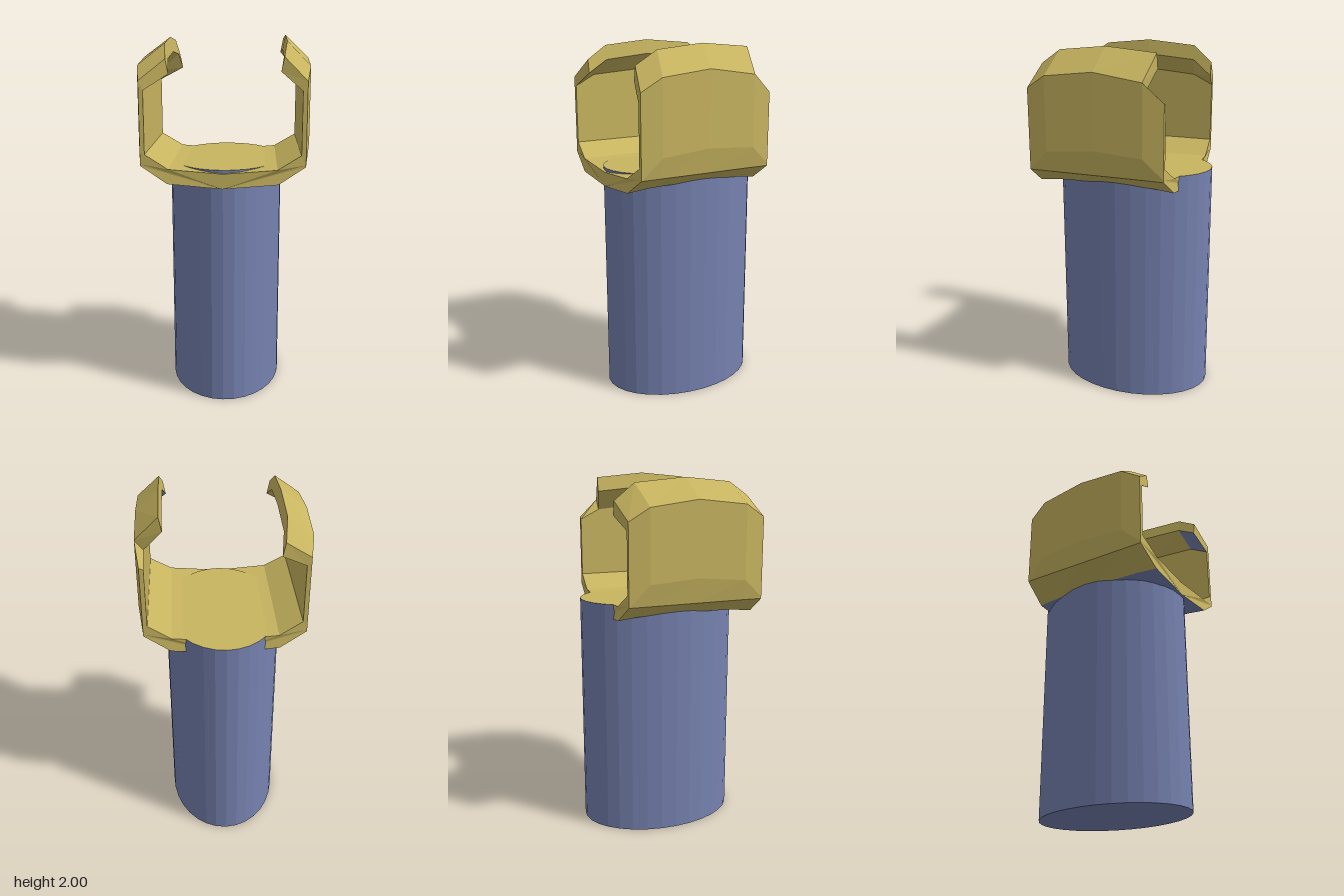
import * as THREE from 'three';

// Joins closed rings (counter-clockwise, front to back) into a capped solid.
// Faces for which isSecond(edge, station) holds go to material group 1.
function loft(rings, isSecond = () => false) {
  const groups = [[], []];
  const n = rings[0].length;
  const tri = (g, ...pts) => pts.forEach((p) => groups[g].push(...p));
  for (let k = 0; k < rings.length - 1; k++) {
    for (let i = 0; i < n; i++) {
      const j = (i + 1) % n;
      const a = rings[k][i], b = rings[k][j], c = rings[k + 1][j], d = rings[k + 1][i];
      const g = isSecond(i, k) ? 1 : 0;
      tri(g, a, d, c);
      tri(g, a, c, b);
    }
  }
  const cap = (ring, flip) => {
    const contour = ring.map((p) => new THREE.Vector2(p[0], p[1]));
    for (const [a, b, c] of THREE.ShapeUtils.triangulateShape(contour, [])) {
      if (flip) tri(0, ring[a], ring[c], ring[b]);
      else tri(0, ring[a], ring[b], ring[c]);
    }
  };
  cap(rings[0], false);
  cap(rings[rings.length - 1], true);
  const geo = new THREE.BufferGeometry();
  geo.setAttribute('position', new THREE.Float32BufferAttribute([...groups[0], ...groups[1]], 3));
  geo.addGroup(0, groups[0].length / 3, 0);
  if (groups[1].length) geo.addGroup(groups[0].length / 3, groups[1].length / 3, 1);
  geo.computeVertexNormals();
  return geo;
}

// Stations from front to back
const baseZ = [0.45, 0.325, 0.05, -0.22, -0.34];
const wallZ = [0.437, 0.325, 0.05, -0.22, -0.33];
const tipZ = [0.405, 0.29, 0.03, -0.25, -0.357];
const wallX = [0.432, 0.452, 0.453, 0.452, 0.432];
const wallLow = [1.35, 1.45, 1.475, 1.455, 1.35];
const innerTop = [1.73, 1.79, 1.81, 1.785, 1.73];
const arch = [0, 0.012, 0.018, 0.012, 0];
const tipTop = [1.9, 1.975, 2.0, 1.975, 1.885];
const tipLow = [1.825, 1.895, 1.92, 1.895, 1.81];

// Each side's shoulder height and lip tip
const sides = {
  left: { s: 1, shoulder: [1.78, 1.85, 1.88, 1.84, 1.74], tip: [0.312, 0.328, 0.328, 0.325, 0.3], drop: 0 },
  right: { s: -1, shoulder: [1.78, 1.85, 1.88, 1.845, 1.775], tip: [0.295, 0.308, 0.308, 0.308, 0.293], drop: 0.012 },
};

// Half of the U-shaped section, from the underside out, up and back in
function halfSection(side, k) {
  return [
    [0.29, 1.247 + arch[k], baseZ[k]],
    [0.432, 1.34, wallZ[k]],
    [wallX[k], wallLow[k], wallZ[k]],
    [wallX[k], side.shoulder[k], wallZ[k]],
    [0.408, innerTop[k], wallZ[k]],
    [0.408, 1.4, wallZ[k]],
    [0.285, 1.325, baseZ[k]],
  ].map(([x, y, z]) => [side.s * x, y, z]);
}

export function createModel() {
  const model = new THREE.Group();
  const gold = new THREE.MeshStandardMaterial({ color: 0xc8b560, flatShading: true });
  gold.name = 'gold';
  const blue = new THREE.MeshStandardMaterial({ color: 0x7682b0, flatShading: true });
  blue.name = 'slate blue';
  const add = (name, geo, materials) => {
    const mesh = new THREE.Mesh(geo, materials);
    mesh.name = name;
    model.add(mesh);
    return mesh;
  };

  // Oval column with a gold top
  const columnGeo = new THREE.CylinderGeometry(1, 1, 1.32, 32);
  columnGeo.scale(0.315, 1, 0.446);
  columnGeo.translate(0, 0.66, -0.009);
  add('column', columnGeo, [blue, gold, blue]);

  // Cradle: shallow floor and two bulging side walls, blue underneath
  const rings = baseZ.map((z, k) => [
    [0, 1.222, z],
    ...halfSection(sides.left, k),
    [0, 1.302, z],
    ...halfSection(sides.right, k).reverse(),
  ]);
  add('cradle', loft(rings, (i) => i === 0 || i === 15), [gold, blue]);

  // Inward-leaning lips on the walls; the left one stops short at the back
  for (const [name, side] of Object.entries(sides)) {
    const count = name === 'left' ? 4 : 5;
    const lip = [];
    for (let k = 0; k < count; k++) {
      const ring = [
        [wallX[k], side.shoulder[k], wallZ[k]],
        [side.tip[k], tipTop[k] - side.drop, tipZ[k]],
        [side.tip[k] - 0.015, tipLow[k] - side.drop, tipZ[k]],
        [0.408, innerTop[k], wallZ[k]],
      ].map(([x, y, z]) => [side.s * x, y, z]);
      lip.push(side.s > 0 ? ring : ring.reverse());
    }
    const under = (i, k) => name === 'left' && i === 2 && k === 0;
    add(name + 'Lip', loft(lip, under), [gold, blue]);
  }
  return model;
}
